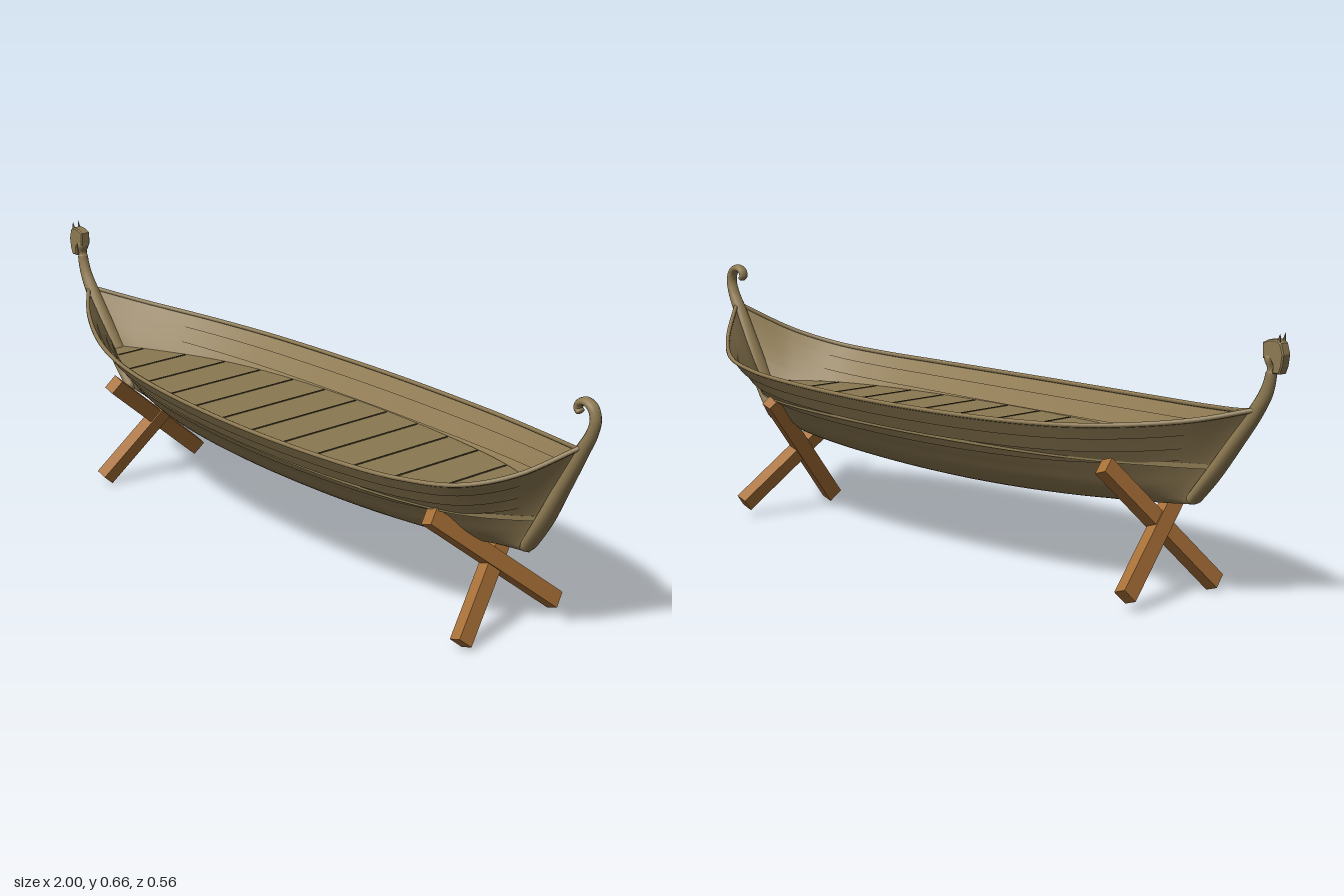
import * as THREE from 'three';
import { ParametricGeometry } from 'three/addons/geometries/ParametricGeometry.js';

const mat = (name, color) => new THREE.MeshStandardMaterial({ name, color, side: THREE.DoubleSide });
const V = (x, y, z = 0) => new THREE.Vector3(x, y, z);
const lerp = THREE.MathUtils.lerp;

// Rail stations: position along the hull, half width, rail height
const rail = new THREE.CatmullRomCurve3([
  V(-1, 0.008, 0.485), V(-0.87, 0.095, 0.455), V(-0.66, 0.19, 0.43), V(-0.43, 0.245, 0.418),
  V(0, 0.278, 0.412), V(0.42, 0.265, 0.415), V(0.64, 0.235, 0.422), V(0.79, 0.19, 0.438),
  V(0.9, 0.115, 0.475), V(1, 0.008, 0.545),
]);

// Cross-section: rounded bottom, then lapped strakes (width fraction, height fraction)
const bottom = new THREE.CatmullRomCurve3([V(0, 0), V(0.2, 0.05), V(0.41, 0.2), V(0.55, 0.4), V(0.64, 0.54)]);
const upper = [[0.64, 0.54], [0.665, 0.52], [0.76, 0.68], [0.785, 0.66], [0.88, 0.84], [0.905, 0.82], [1, 1]];

function hullPoint(t, wf, hf, side, target) {
  const p = rail.getPoint(THREE.MathUtils.clamp(t, 0, 1));
  const s = p.x;
  const end = s < 0 ? lerp(0.74, 0.925, hf) : lerp(0.8, 0.96, hf);
  const sharpen = 1 - 0.35 * Math.pow(Math.abs(s), 6) * (1 - hf);
  return target.set(s * end, lerp(0.19 + 0.045 * s * s, p.z, hf), side * p.y * wf * sharpen);
}

export function createModel() {
  const hullWood = mat('hull wood', 0x8f7b53);
  const deckWood = mat('deck wood', 0x8a7850);
  const seamWood = mat('dark seam', 0x4a4029);
  const standWood = mat('stand wood', 0xa87038);
  const model = new THREE.Group();
  model.name = 'longship on stands';
  const add = (parent, name, geometry, material) => {
    const m = new THREE.Mesh(geometry, material);
    m.name = name;
    parent.add(m);
    return m;
  };

  // Hull sides
  const hull = new THREE.Group();
  hull.name = 'hull';
  model.add(hull);
  for (const side of [1, -1]) {
    const strip = (name, profile, rows) => add(hull, name, new ParametricGeometry((u, v, target) => {
      const [wf, hf] = profile(side > 0 ? v : 1 - v);
      hullPoint(u, wf, hf, side, target);
    }, 72, rows), hullWood);
    strip('hullBottom', v => { const p = bottom.getPoint(THREE.MathUtils.clamp(v, 0, 1)); return [p.x, p.y]; }, 14);
    for (let i = 0; i < upper.length - 1; i++) {
      const a = upper[i], b = upper[i + 1];
      strip(i % 2 ? 'strake' : 'strakeLip', v => [lerp(a[0], b[0], v), lerp(a[1], b[1], v)], 2);
    }
    const edge = [];
    for (let i = 0; i <= 40; i++) edge.push(hullPoint(i / 40, 0.985, 0.99, side, V(0, 0)));
    add(hull, 'railCap', new THREE.TubeGeometry(new THREE.CatmullRomCurve3(edge), 90, 0.006, 6), hullWood);
  }

  // Deck, fitted to the inside of the hull
  const deckY = 0.34, outline = [];
  for (let i = 1; i < 60; i++) {
    const p = rail.getPoint(i / 60);
    const keel = 0.19 + 0.045 * p.x * p.x;
    const hf = (deckY - keel) / (p.z - keel);
    const wf = hf > 0.54 ? lerp(0.64, 1, (hf - 0.54) / 0.46) : lerp(0.35, 0.64, hf / 0.54);
    outline.push(hullPoint(i / 60, wf, hf, 1, V(0, 0)));
  }
  const deckShape = new THREE.Shape([
    ...outline.map(p => new THREE.Vector2(p.x, p.z)),
    ...outline.slice().reverse().map(p => new THREE.Vector2(p.x, -p.z)),
  ]);
  const deck = add(model, 'deck', new THREE.ExtrudeGeometry(deckShape, { depth: 0.012, bevelEnabled: false }), deckWood);
  deck.rotation.x = Math.PI / 2;
  deck.position.y = deckY;
  const halfAt = x => {
    const i = Math.max(1, outline.findIndex(p => p.x > x)), a = outline[i - 1], b = outline[i];
    return lerp(a.z, b.z, (x - a.x) / (b.x - a.x));
  };
  for (let x = -0.74; x < 0.8; x += 0.118) {
    const seam = add(model, 'plankSeam', new THREE.BoxGeometry(0.005, 0.002, 2 * halfAt(x) - 0.01), seamWood);
    seam.position.set(x, deckY + 0.0005, 0);
  }

  // Swept posts; each entry is x, y, half thickness, half width
  const post = (name, data) => {
    const path = new THREE.CatmullRomCurve3(data.map(d => V(d[0], d[1])));
    const size = new THREE.CatmullRomCurve3(data.map(d => V(d[2], d[3])));
    const last = data.length - 1;
    add(model, name, new ParametricGeometry((u, v, target) => {
      const t = THREE.MathUtils.clamp(u, 0, 1);
      const p = path.getPoint(t), q = path.getTangent(t), s = size.getPoint(t);
      const round = Math.min(1, Math.sqrt(Math.max(0, Math.min(t, 1 - t) * last * 5)) + 0.02);
      const c = Math.cos(v * Math.PI * 2) * s.x * round, w = Math.sin(v * Math.PI * 2) * s.y * round;
      target.set(p.x - q.y * c, p.y + q.x * c, w);
    }, 72, 14), hullWood);
  };
  post('sternPost', [
    [0.785, 0.235, 0.015, 0.026], [0.84, 0.32, 0.018, 0.03], [0.9, 0.43, 0.018, 0.024], [0.953, 0.53, 0.017, 0.018],
    [0.978, 0.575, 0.014, 0.016], [0.987, 0.61, 0.012, 0.015], [0.978, 0.636, 0.011, 0.015],
    [0.957, 0.646, 0.01, 0.015], [0.938, 0.638, 0.009, 0.014], [0.934, 0.624, 0.008, 0.013], [0.944, 0.616, 0.007, 0.012],
  ]);
  post('bowPost', [
    [-0.725, 0.235, 0.015, 0.024], [-0.79, 0.31, 0.018, 0.026], [-0.86, 0.4, 0.018, 0.022], [-0.915, 0.475, 0.018, 0.018],
    [-0.945, 0.525, 0.016, 0.015], [-0.957, 0.57, 0.013, 0.014], [-0.955, 0.61, 0.013, 0.014], [-0.96, 0.638, 0.012, 0.013],
  ]);

  // Carved beast head with a drooping snout
  const head = new THREE.Group();
  head.name = 'figurehead';
  model.add(head);
  const profile = [[-0.944, 0.605], [-0.943, 0.636], [-0.958, 0.643], [-0.978, 0.645], [-0.99, 0.638], [-0.997, 0.615],
    [-0.993, 0.588], [-0.987, 0.573], [-0.972, 0.573], [-0.973, 0.592], [-0.962, 0.606]];
  const headGeo = new THREE.ExtrudeGeometry(new THREE.Shape(profile.map(p => new THREE.Vector2(...p))),
    { depth: 0.022, bevelThickness: 0.003, bevelSize: 0.003, bevelSegments: 1 });
  headGeo.translate(0, 0, -0.011);
  add(head, 'head', headGeo, hullWood);
  for (const side of [1, -1]) {
    const ear = add(head, 'ear', new THREE.ConeGeometry(0.006, 0.026, 6), hullWood);
    ear.position.set(-0.985, 0.65, side * 0.009);
    ear.rotation.z = 0.2;
  }

  // Crossed-beam stands, leaning outward at the foot
  const normal = V(0.29, 0.09).normalize();
  const lean = (y, z) => V(0.63 + (0.315 - y) * 0.31, y, z);
  for (const side of [1, -1]) {
    const stand = new THREE.Group();
    stand.name = side > 0 ? 'sternStand' : 'bowStand';
    stand.scale.x = side;
    stand.position.x = side > 0 ? 0 : 0.03;
    const beams = [[lean(0.315, 0.16), lean(0.036, -0.18), 0.002], [lean(0.328, -0.155), lean(0.018, 0.135), -0.002]];
    for (const [a, b, shift] of beams) {
      const dir = a.clone().sub(b), length = dir.length();
      dir.normalize();
      const beam = add(stand, 'standBeam', new THREE.BoxGeometry(0.034, length, 0.042), standWood);
      beam.quaternion.setFromRotationMatrix(new THREE.Matrix4().makeBasis(normal, dir, normal.clone().cross(dir)));
      beam.position.copy(a).add(b).multiplyScalar(0.5).addScaledVector(normal, shift);
    }
    model.add(stand);
  }
  return model;
}
